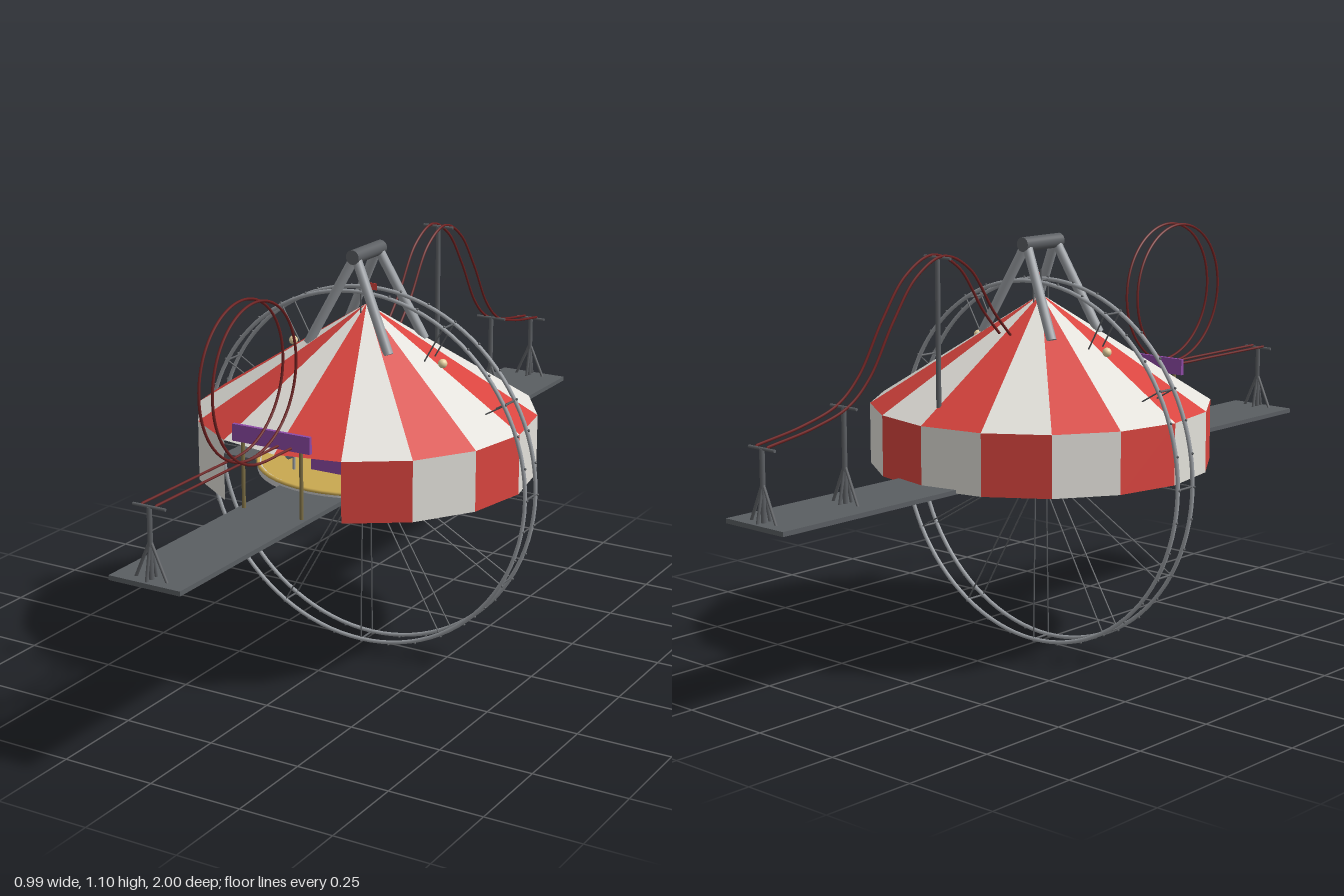
import * as THREE from 'three';

const mat = (color, flat = false) => new THREE.MeshStandardMaterial({ color, flatShading: flat, side: THREE.DoubleSide });
const RED = mat(0xd8443e, true), WHITE = mat(0xe2e0da, true), STEEL = mat(0x9a9ea3), DARK = mat(0x5c5f63),
  DECK = mat(0x5a5e62), RAIL = mat(0x6e2020), PURPLE = mat(0x8e4aa6), GOLD = mat(0xc9a850), CREAM = mat(0xe8d3a0),
  GLASS = mat(0x7d8f98), POST = mat(0x7d6f45);

const V = (x, y, z) => new THREE.Vector3(x, y, z);

function add(parent, name, geo, material, x = 0, y = 0, z = 0) {
  const m = new THREE.Mesh(geo, material);
  m.name = name;
  m.position.set(x, y, z);
  parent.add(m);
  return m;
}
const box = (p, name, material, w, h, d, x, y, z) => add(p, name, new THREE.BoxGeometry(w, h, d), material, x, y, z);

// Round bar between two points
function bar(parent, name, a, b, r, material, sides = 8) {
  const m = add(parent, name, new THREE.CylinderGeometry(r, r, a.distanceTo(b), sides), material);
  m.position.copy(a).add(b).multiplyScalar(0.5);
  m.quaternion.setFromUnitVectors(V(0, 1, 0), b.clone().sub(a).normalize());
  return m;
}

function group(parent, name) {
  const g = new THREE.Group();
  g.name = name;
  parent.add(g);
  return g;
}

function polygon(points) {
  const g = new THREE.BufferGeometry().setFromPoints(points);
  g.setIndex(points.length === 4 ? [0, 1, 2, 0, 2, 3] : [0, 1, 2]);
  g.computeVertexNormals();
  return g;
}

// Sixteen-sided striped tent, two front wall panels left open
function tent(root) {
  const g = group(root, 'tent'), R = 0.45, n = 16, eave = 0.66, apex = V(0, 0.945, 0);
  const at = (i, y) => V(R * Math.sin(i * 2 * Math.PI / n), y, R * Math.cos(i * 2 * Math.PI / n));
  for (let i = 0; i < n; i++) {
    add(g, 'roofPanel', polygon([at(i, eave), at(i + 1, eave), apex]), i % 2 ? WHITE : RED);
    if (i > 0 && i < n - 1)
      add(g, 'wallPanel', polygon([at(i, 0.5), at(i + 1, 0.5), at(i + 1, eave), at(i, eave)]), i % 2 ? RED : WHITE);
  }
  // Flag and roof lamps
  bar(g, 'flagPole', V(0, 0.93, 0), V(0, 1.01, 0), 0.003, DARK);
  box(g, 'flag', RED, 0.03, 0.018, 0.002, 0.016, 0.992, 0);
  for (const s of [-1, 1])
    add(g, 'roofLamp', new THREE.SphereGeometry(0.012, 16, 12), CREAM, s * 0.226, 0.815, 0);
}

// Ring floor and the show inside the tent
function arena(root) {
  const g = group(root, 'arena');
  add(g, 'ringFloor', new THREE.CylinderGeometry(0.29, 0.29, 0.018, 40), mat(0xc4c4c0), 0, 0.509, 0);
  add(g, 'sand', new THREE.CircleGeometry(0.28, 40).rotateX(-Math.PI / 2), GOLD, 0, 0.52, 0);
  add(g, 'ringCurb', new THREE.TorusGeometry(0.288, 0.005, 8, 48).rotateX(Math.PI / 2), GOLD, 0, 0.519, 0);
  box(g, 'stage', PURPLE, 0.16, 0.055, 0.1, 0, 0.548, 0.1);
  add(g, 'goldDrum', new THREE.CylinderGeometry(0.03, 0.035, 0.07, 20), GOLD, 0, 0.61, 0.08);
  for (const s of [-1, 1]) {
    box(g, 'sideBench', DARK, 0.12, 0.014, 0.26, s * 0.31, 0.503, 0);
    // Spotlight on a stand with a thin curved arm
    bar(g, 'lampStand', V(s * 0.12, 0.515, 0.17), V(s * 0.12, 0.58, 0.17), 0.004, STEEL);
    bar(g, 'spotlight', V(s * 0.108, 0.572, 0.17), V(s * 0.14, 0.555, 0.17), 0.012, GLASS, 14);
    const arm = new THREE.QuadraticBezierCurve3(V(s * 0.11, 0.57, 0.17), V(s * 0.13, 0.61, 0.17), V(s * 0.165, 0.63, 0.17));
    add(g, 'lampArm', new THREE.TubeGeometry(arm, 10, 0.0015, 5), DARK);
    bar(g, 'stageRail', V(s * 0.06, 0.575, 0.13), V(s * 0.02, 0.62, 0.13), 0.004, GOLD);
  }
}

// Big wheel: two rims, spokes, rungs and small bulbs
function wheel(root) {
  const g = group(root, 'wheel'), R = 0.484, cy = 0.497;
  const at = (deg, r, z) => V(r * Math.cos(deg * Math.PI / 180), cy + r * Math.sin(deg * Math.PI / 180), z);
  for (const z of [-0.03, 0.03]) {
    add(g, 'rim', new THREE.TorusGeometry(R, 0.0055, 8, 96), STEEL, 0, cy, z);
    for (let a = 0; a < 360; a += 30) bar(g, 'spoke', at(a, 0.008, z * 0.7), at(a, R, z), 0.002, DARK, 6);
    for (let a = 0; a < 360; a += 10)
      add(g, 'bulb', new THREE.SphereGeometry(0.0035, 8, 6), DARK).position.copy(at(a, R + 0.006, z));
  }
  for (let a = 0; a < 360; a += 30) bar(g, 'rung', at(a, R, -0.03), at(a, R, 0.03), 0.003, DARK, 6);
  bar(g, 'hub', V(0, cy, -0.035), V(0, cy, 0.035), 0.01, STEEL, 16);

  // Hanging cabin
  const c = group(g, 'cabin');
  box(c, 'cabinBody', RED, 0.062, 0.018, 0.05, 0, 0.438, 0);
  box(c, 'cabinWindows', GLASS, 0.054, 0.026, 0.044, 0, 0.458, 0);
  box(c, 'cabinRoof', mat(0xd9a13a), 0.066, 0.005, 0.054, 0, 0.474, 0);
}

// Steel crown straddling the roof
function crown(root) {
  const g = group(root, 'crown');
  bar(g, 'crownBarrel', V(0, 1.08, -0.072), V(0, 1.08, 0.072), 0.019, DARK, 24);
  for (const sx of [-1, 1]) for (const sz of [-1, 1])
    bar(g, 'crownLeg', V(sx * 0.006, 1.07, sz * 0.058), V(sx * 0.12, 0.845, sz * 0.094), 0.013, STEEL, 16);
}

// Roller coaster: front loop, rear hill, supports
function coaster(root) {
  const g = group(root, 'coaster');
  const front = [V(0, 0.69, 0.97), V(0, 0.69, 0.85), V(0, 0.69, 0.7)];
  for (let i = 0; i <= 32; i++) {
    const a = i / 32 * 2 * Math.PI;
    front.push(V(0.04 * i / 32, 0.885 - 0.195 * Math.cos(a), 0.585 - 0.195 * Math.sin(a)));
  }
  front.push(V(0.04, 0.69, 0.5), V(0.04, 0.69, 0.41));
  const back = [[-0.13, 0.845], [-0.2, 0.92], [-0.29, 1.04], [-0.385, 1.08], [-0.48, 1.035], [-0.56, 0.935],
    [-0.64, 0.81], [-0.71, 0.75], [-0.82, 0.715], [-0.97, 0.69]].map(([z, y]) => V(0, y, z));
  for (const path of [front, back]) for (const s of [-1, 1]) {
    const curve = new THREE.CatmullRomCurve3(path.map(p => V(p.x + s * 0.019, p.y, p.z)));
    add(g, 'rail', new THREE.TubeGeometry(curve, 160, 0.0035, 6), RAIL);
  }
  // Posts with splayed feet and a cross bar
  for (const [z, top] of [[0.97, 0.685], [-0.385, 1.075], [-0.71, 0.745], [-0.97, 0.685]]) {
    const s = group(g, 'support'), k = Math.min(0.1, (top - 0.5) * 0.55);
    bar(s, 'post', V(0, 0.5, z), V(0, top, z), 0.0065, DARK, 10);
    bar(s, 'crossBar', V(-0.045, top, z), V(0.045, top, z), 0.004, DARK);
    for (const [dx, dz] of [[1, 0], [-1, 0], [0, 1], [0, -1]])
      bar(s, 'foot', V(dx * 0.045, 0.505, z + dz * 0.02), V(0, 0.505 + k, z), 0.004, DARK, 6);
  }
}

// Long deck and entrance sign
function entrance(root) {
  box(root, 'deck', DECK, 0.2, 0.012, 2, 0, 0.503, 0);
  const g = group(root, 'entrance');
  box(g, 'signBoard', PURPLE, 0.226, 0.044, 0.01, 0, 0.704, 0.46);
  for (const s of [-1, 1]) bar(g, 'signPost', V(s * 0.085, 0.505, 0.46), V(s * 0.085, 0.69, 0.46), 0.005, POST, 10);
}

export function createModel() {
  const root = new THREE.Group();
  root.name = 'funfair';
  for (const build of [entrance, tent, arena, wheel, crown, coaster]) build(root);
  return root;
}
